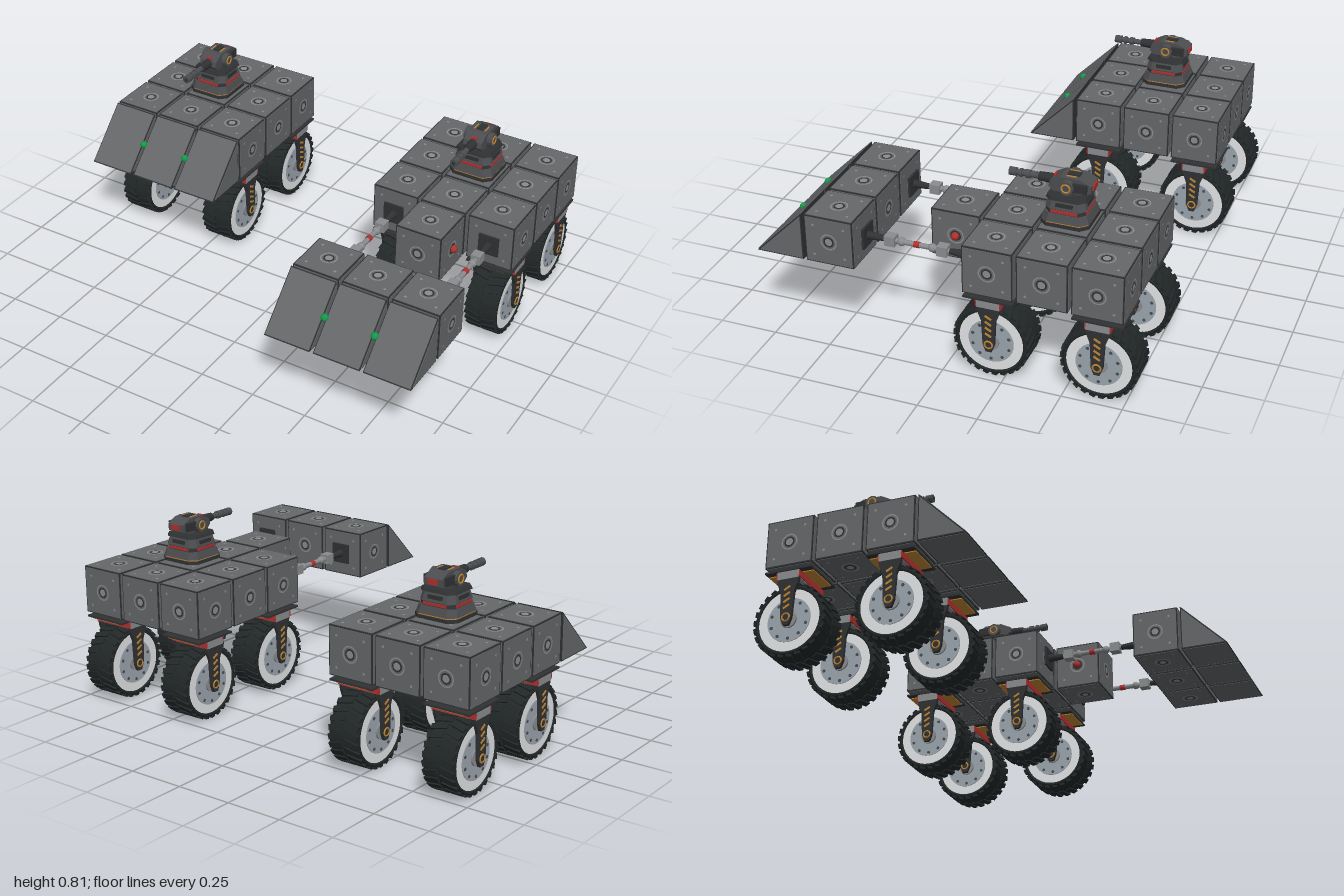
import * as THREE from 'three';
import { mergeGeometries } from 'three/addons/utils/BufferGeometryUtils.js';

const mat = (name, color, flatShading = false) =>
  new THREE.MeshStandardMaterial({ name, color, flatShading });
const M = {
  block: mat('block grey', 0x656769), dark: mat('frame dark', 0x303133),
  tyre: mat('tyre black', 0x222728), rim: mat('rim white', 0xe2e4e6),
  hub: mat('hub blue grey', 0x9ca5ae), red: mat('red', 0xb0302e),
  green: mat('green', 0x129a48), orange: mat('orange', 0xc08534),
  light: mat('light grey', 0x8a8c8f), gun: mat('gun metal', 0x4b4d50, true),
};
const PITCH = 0.223, H = 0.104, Y = 0.49;
const V = (x, y, z) => new THREE.Vector3(x, y, z);
const AXES = [V(1, 0, 0), V(-1, 0, 0), V(0, 1, 0), V(0, -1, 0), V(0, 0, 1), V(0, 0, -1)];

function add(parent, name, geo, m, x = 0, y = 0, z = 0) {
  const mesh = new THREE.Mesh(geo, m);
  mesh.name = name;
  mesh.position.set(x, y, z);
  parent.add(mesh);
  return mesh;
}
function group(parent, name, x = 0, y = 0, z = 0) {
  const g = new THREE.Group();
  g.name = name;
  g.position.set(x, y, z);
  parent.add(g);
  return g;
}
const box = (w, h, d) => new THREE.BoxGeometry(w, h, d);
const cylX = (r, w, n = 20) => new THREE.CylinderGeometry(r, r, w, n).rotateZ(-Math.PI / 2);
const cylZ = (r0, r1, w, n = 16) => new THREE.CylinderGeometry(r1, r0, w, n).rotateX(Math.PI / 2);

// Side profile of [z, y] points, given a thickness along x
function sideProfile(points, width) {
  const shape = new THREE.Shape(points.map(p => new THREE.Vector2(...p)));
  return new THREE.ExtrudeGeometry(shape, { depth: width, bevelEnabled: false })
    .translate(0, 0, -width / 2).rotateY(-Math.PI / 2);
}
// Square tower with cut corners that narrows from half width a to b
function frustum(a, b, h, cut = 0.3) {
  const c = 1 - cut;
  const pts = [[1, -c], [1, c], [c, 1], [-c, 1], [-1, c], [-1, -c], [-c, -1], [c, -1]];
  const geo = new THREE.ExtrudeGeometry(new THREE.Shape(pts.map(p => new THREE.Vector2(...p))),
    { depth: h, bevelEnabled: false }).rotateX(-Math.PI / 2);
  const p = geo.attributes.position;
  for (let i = 0; i < p.count; i++) {
    const s = a + (b - a) * p.getY(i) / h;
    p.setXYZ(i, p.getX(i) * s, p.getY(i), p.getZ(i) * s);
  }
  geo.computeVertexNormals();
  return geo;
}
// Repeat outward facing pieces on the six faces of a cube
function onFaces(pieces) {
  return mergeGeometries(AXES.flatMap(a => {
    const q = new THREE.Quaternion().setFromUnitVectors(V(0, 0, 1), a);
    return pieces.map(g => g.clone().applyQuaternion(q));
  }));
}

const corners = [[1, 1], [-1, 1], [1, -1], [-1, -1]];
const coreGeo = box(2 * H, 2 * H, 2 * H);
const panelGeo = onFaces([box(0.198, 0.198, 0.004).translate(0, 0, H)]);
const emblemGeo = onFaces([
  new THREE.RingGeometry(0.03, 0.036, 24).translate(0, 0, H + 0.003),
  new THREE.CircleGeometry(0.016, 16).translate(0, 0, H + 0.0035),
  ...corners.map(([x, y]) => new THREE.CircleGeometry(0.006, 8).translate(x * 0.066, y * 0.066, H + 0.003)),
]);
const socketGeo = onFaces([new THREE.CircleGeometry(0.023, 18).translate(0, 0, H + 0.003)]);

function block(parent, x, z) {
  const g = group(parent, 'block', x, Y, z);
  add(g, 'blockFrame', coreGeo, M.dark);
  add(g, 'blockPanels', panelGeo, M.block);
  add(g, 'blockSockets', socketGeo, M.dark);
  add(g, 'blockEmblems', emblemGeo, M.light);
}

const wedgeGeo = sideProfile([[-H, -H], [H, -H], [-H, H]], 2 * H);
const wedgeSideGeo = sideProfile([[-0.099, -0.099], [0.092, -0.099], [-0.099, 0.092]], 2 * H + 0.004);
function wedge(parent, x, z) {
  const g = group(parent, 'wedge', x, Y, z);
  add(g, 'wedgeFrame', wedgeGeo, M.dark);
  add(g, 'wedgeSides', wedgeSideGeo, M.block);
  add(g, 'wedgeSlope', box(0.2, 0.284, 0.004), M.block).rotation.x = -Math.PI / 4;
  add(g, 'wedgeBottom', box(0.198, 0.004, 0.198), M.block, 0, -H, 0);
}

const ballGeo = new THREE.SphereGeometry(0.017, 12, 8);
const connector = (parent, x, y, z, m = M.green) => add(parent, 'connector', ballGeo, m, x, y, z);

// Tyre with slanted lugs
const tyreGeo = new THREE.LatheGeometry([[0.132, -0.066], [0.14, -0.074], [0.149, -0.07], [0.153, -0.05],
  [0.153, 0.05], [0.149, 0.07], [0.14, 0.074], [0.132, 0.066]].map(p => new THREE.Vector2(...p)), 40)
  .rotateZ(-Math.PI / 2);
const lugs = [];
for (let i = 0; i < 26; i++) for (const s of [-1, 1]) {
  lugs.push(box(0.068, 0.012, 0.023).rotateY(s * 0.25).translate(s * 0.037, 0.153, 0)
    .rotateX((i + (s > 0 ? 0.5 : 0)) / 26 * Math.PI * 2));
}
const lugGeo = mergeGeometries(lugs);
const armGeo = sideProfile([[-0.05, 0.35], [-0.045, 0.32], [-0.03, 0.28], [-0.024, 0.17], [-0.012, 0.138],
  [0.012, 0.138], [0.024, 0.17], [0.03, 0.28], [0.045, 0.32], [0.05, 0.35]].reverse(), 0.014);
const boltGeo = mergeGeometries([...Array(10).keys()].map(i =>
  cylX(0.007, 0.146, 8).translate(0, 0.08, 0).rotateX(i / 10 * Math.PI * 2)));

function wheel(parent, x, z) {
  const g = group(parent, 'wheelUnit', x, 0, z);
  const w = group(g, 'wheel', 0, 0.159, 0);
  add(w, 'tyre', tyreGeo, M.tyre);
  add(w, 'treadLugs', lugGeo, M.tyre);
  add(w, 'rim', cylX(0.134, 0.136, 40), M.rim);
  add(w, 'wheelDisc', cylX(0.095, 0.142, 32), M.hub);
  add(w, 'wheelBolts', boltGeo, M.gun);
  add(w, 'hubCap', cylX(0.036, 0.156, 20), M.light);
  add(w, 'axle', cylX(0.012, 0.2, 12), M.dark);
  // Fork holding the wheel
  add(g, 'mountPlate', box(0.208, 0.008, 0.208), M.dark, 0, 0.366, 0);
  add(g, 'mountTrim', box(0.15, 0.004, 0.2), M.orange, 0, 0.36, 0);
  add(g, 'forkCrossbar', box(0.2, 0.034, 0.096), M.light, 0, 0.345, 0);
  for (const s of [-1, 1]) {
    add(g, 'forkRedPlate', box(0.2, 0.026, 0.006), M.red, 0, 0.344, s * 0.05);
    add(g, 'forkArm', armGeo, M.dark, s * 0.091, -0.012, 0);
    for (let i = 0; i < 4; i++)
      add(g, 'forkStripe', box(0.004, 0.009, 0.03), M.orange, s * 0.0985, 0.205 + i * 0.027, 0).rotation.x = -0.5;
    add(g, 'axleRing', new THREE.TorusGeometry(0.016, 0.004, 6, 18).rotateY(Math.PI / 2), M.orange, s * 0.098, 0.159, 0);
  }
  connector(g, 0, 0.378, 0);
}

function turret(parent, z) {
  const g = group(parent, 'turret', 0, 0, z);
  connector(g, 0, 0.602, 0);
  add(g, 'turretFoot', frustum(0.1, 0.1, 0.014), M.dark, 0, 0.611, 0);
  add(g, 'turretTrim', frustum(0.095, 0.095, 0.005), M.orange, 0, 0.625, 0);
  add(g, 'turretLower', frustum(0.097, 0.087, 0.032), M.gun, 0, 0.63, 0);
  add(g, 'turretBand', frustum(0.082, 0.08, 0.018), M.dark, 0, 0.662, 0);
  add(g, 'turretUpper', frustum(0.084, 0.074, 0.038), M.gun, 0, 0.68, 0);
  add(g, 'turretCollar', frustum(0.083, 0.078, 0.012), M.dark, 0, 0.718, 0);
  for (let i = 0; i < 4; i++) {
    const side = group(g, 'turretSide');
    side.rotation.y = i * Math.PI / 2;
    add(side, 'turretRedStripe', box(0.11, 0.011, 0.008), M.red, 0, 0.671, 0.081);
    add(side, 'turretSlot', box(0.07, 0.016, 0.006), M.dark, 0, 0.699, 0.079);
  }
  add(g, 'turretNeck', new THREE.CylinderGeometry(0.05, 0.06, 0.015, 16), M.dark, 0, 0.735, 0);
  // Gun head and its side drums
  add(g, 'gunHead', sideProfile([[-0.05, 0.737], [0.06, 0.737], [0.078, 0.755], [0.072, 0.78], [0.03, 0.802],
    [-0.05, 0.802], [-0.095, 0.78], [-0.095, 0.75]], 0.084), M.gun);
  for (const s of [-1, 1]) {
    add(g, 'headDrum', cylX(0.03, 0.024, 12), M.gun, s * 0.053, 0.767, 0);
    add(g, 'drumRing', new THREE.TorusGeometry(0.017, 0.004, 6, 18).rotateY(Math.PI / 2), M.orange, s * 0.065, 0.767, 0);
    add(g, 'headCheek', box(0.014, 0.036, 0.06), M.dark, s * 0.048, 0.768, -0.05);
    add(g, 'headSlit', box(0.006, 0.004, 0.04), M.orange, s * 0.024, 0.803, -0.01);
  }
  add(g, 'rearLight', box(0.045, 0.022, 0.008), M.red, 0, 0.767, -0.097);
  add(g, 'topHatch', box(0.03, 0.006, 0.05), M.dark, 0, 0.804, -0.015);
  add(g, 'frontLight', box(0.03, 0.01, 0.008), M.red, 0, 0.789, 0.062);
  add(g, 'barrelSleeve', cylZ(0.021, 0.018, 0.06), M.dark, 0, 0.767, 0.1);
  add(g, 'barrel', cylZ(0.012, 0.012, 0.17), M.gun, 0, 0.767, 0.15);
  for (const [at, len] of [[0.175, 0.018], [0.205, 0.012], [0.238, 0.03]])
    add(g, 'barrelCollar', cylZ(0.017, 0.017, len), M.gun, 0, 0.767, at);
  add(g, 'barrelBore', cylZ(0.008, 0.008, 0.004), M.dark, 0, 0.767, 0.253);
}

// Jointed rod between the hull and the ram
function pushRod(parent, x) {
  const g = group(parent, 'pushRod', x, Y, 0.142);
  add(g, 'rodShaft', cylZ(0.011, 0.011, 0.4, 12), M.light);
  add(g, 'rodCollar', cylZ(0.013, 0.013, 0.024, 12), M.red);
  for (const s of [-1, 1]) {
    add(g, 'rodPlate', box(0.09, 0.09, 0.01), M.dark, 0, 0, s * 0.215);
    add(g, 'rodStem', s > 0 ? cylZ(0.012, 0.018, 0.07) : cylZ(0.018, 0.012, 0.07), M.dark, 0, 0, s * 0.176);
    add(g, 'rodJoint', box(0.042, 0.042, 0.044), M.light, 0, 0, s * 0.112);
    add(g, 'rodBall', new THREE.SphereGeometry(0.018, 12, 8), M.light, 0, 0, s * 0.066);
    connector(g, 0, 0, s * 0.225);
  }
}

// Three columns of cells at depth z, joined sideways
function row(parent, z, make) {
  for (const i of [-1, 0, 1]) make(parent, i * PITCH, z);
  for (const s of [-1, 1]) connector(parent, s * PITCH / 2, Y, z);
}
const linkBack = (parent, z, cols = [-1, 0, 1]) => cols.forEach(i => connector(parent, i * PITCH, Y, z - PITCH / 2));

function vehicle(parent, name, x) {
  const g = group(parent, name, x);
  for (const z of [-0.64, -0.417, -0.194]) {
    row(g, z, block);
    if (z > -0.6) linkBack(g, z);
  }
  for (const i of [-1, 1]) for (const z of [-0.64, -0.194]) wheel(g, i * PITCH, z);
  turret(g, -0.417);
  return g;
}

export function createModel() {
  const model = new THREE.Group();
  model.name = 'twoVehicles';
  // Short vehicle with a sloped nose
  const short = vehicle(model, 'slopedVehicle', -0.671);
  row(short, 0.027, wedge);
  linkBack(short, 0.027);
  // Long vehicle with a ram on rods
  const long = vehicle(model, 'ramVehicle', 0.669);
  block(long, 0, 0.027);
  linkBack(long, 0.027, [0]);
  for (const s of [-1, 1]) {
    connector(long, s * PITCH / 2, Y, 0.027, M.red);
    pushRod(long, s * PITCH);
  }
  row(long, 0.475, block);
  row(long, 0.697, wedge);
  linkBack(long, 0.697);
  return model;
}
